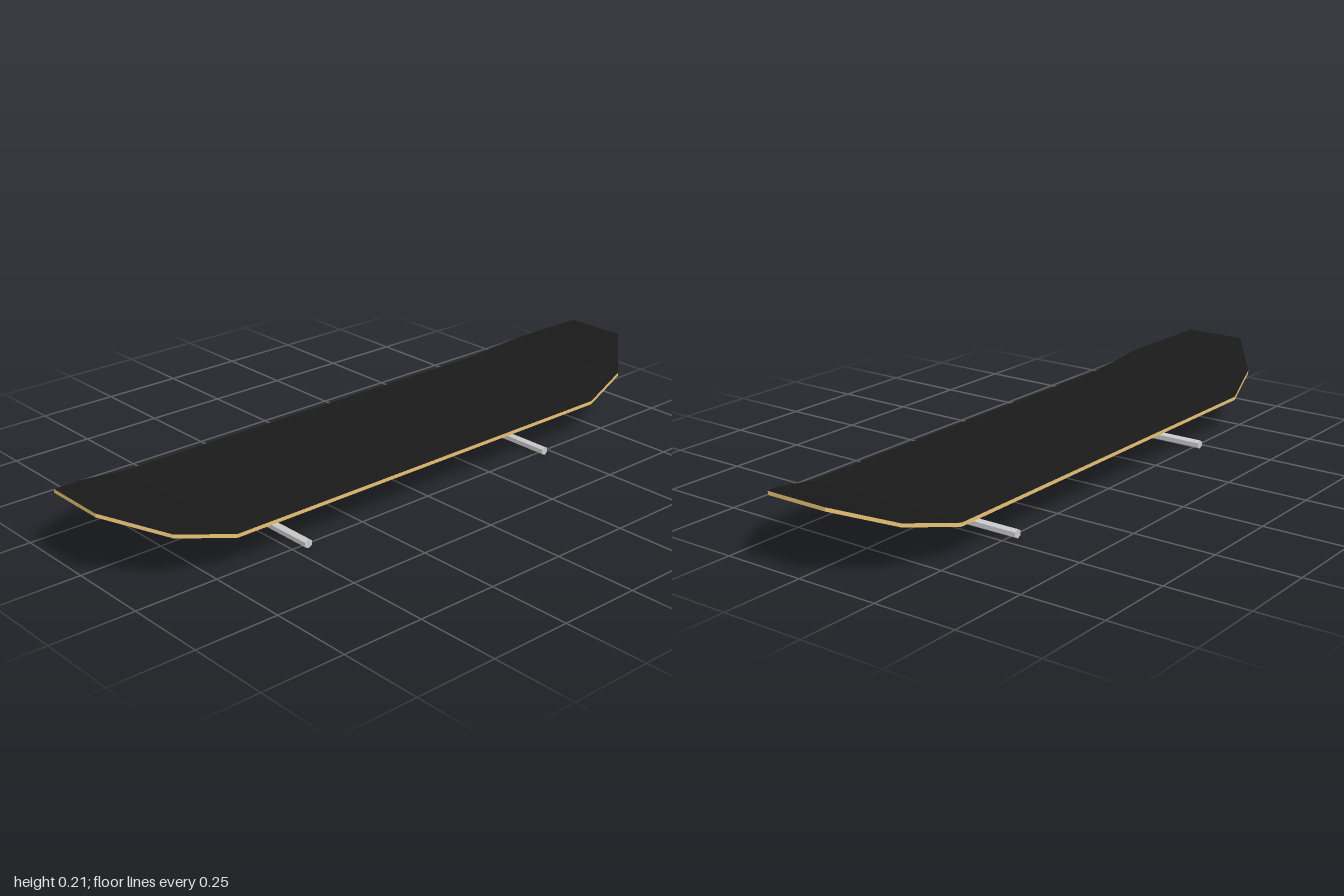
import * as THREE from 'three';

const mat = (name, color) => {
  const m = new THREE.MeshStandardMaterial({ color });
  m.name = name;
  return m;
};

// Deck cross-sections from tail to nose: [x, top height, front z, back z]
const half = [
  [0.685, 0.112, 0.26, -0.265],
  [0.855, 0.152, 0.221, -0.216],
  [1.0, 0.212, 0.094, -0.1],
];
const sections = [...half.map(([x, ...r]) => [-x, ...r]).reverse(), ...half];
const THICK = 0.011;

// Flat-faced mesh from quads with corners in counter-clockwise order
function quadMesh(name, quads, material) {
  const pos = [];
  for (const [a, b, c, d] of quads) pos.push(...a, ...b, ...c, ...a, ...c, ...d);
  const geo = new THREE.BufferGeometry();
  geo.setAttribute('position', new THREE.Float32BufferAttribute(pos, 3));
  geo.computeVertexNormals();
  const mesh = new THREE.Mesh(geo, material);
  mesh.name = name;
  return mesh;
}

function createDeck() {
  const rings = sections.map(([x, y, f, b]) => ({
    tf: [x, y, f], tb: [x, y, b],
    bf: [x, y - THICK, f], bb: [x, y - THICK, b],
  }));
  const top = [], bottom = [], edge = [];
  for (let i = 0; i < rings.length - 1; i++) {
    const p = rings[i], q = rings[i + 1];
    top.push([p.tf, q.tf, q.tb, p.tb]);
    bottom.push([p.bb, q.bb, q.bf, p.bf]);
    edge.push([p.bf, q.bf, q.tf, p.tf], [q.bb, p.bb, p.tb, q.tb]);
  }
  // Tail and nose end faces
  const s = rings[0], e = rings[rings.length - 1];
  edge.push([s.bb, s.bf, s.tf, s.tb], [e.bf, e.bb, e.tb, e.tf]);

  const deck = new THREE.Group();
  deck.name = 'deck';
  deck.add(
    quadMesh('gripSurface', top, mat('black grip', 0x1a1a1a)),
    quadMesh('deckUnderside', bottom, mat('blue paint', 0x4a4ad4)),
    quadMesh('deckEdge', edge, mat('maple wood', 0xf0c878)),
  );
  return deck;
}

// Six-sided axle on a flattened six-sided post
function createTruck(name, x, metal) {
  const truck = new THREE.Group();
  truck.name = name;
  truck.position.x = x;

  const R = 0.0135;
  const axleGeo = new THREE.CylinderGeometry(R, R, 0.548, 6);
  axleGeo.rotateX(Math.PI / 2);
  const axle = new THREE.Mesh(axleGeo, metal);
  axle.name = 'axle';
  axle.position.y = R;

  const h = 0.105 - R;
  const post = new THREE.Mesh(new THREE.CylinderGeometry(R, R, h, 6), metal);
  post.name = 'post';
  post.scale.z = 0.0345 / R;
  post.position.set(0, R + h / 2, 0.0035);

  truck.add(axle, post);
  return truck;
}

export function createModel() {
  const model = new THREE.Group();
  model.name = 'skateboard';
  const metal = mat('grey metal', 0xcccccc);
  metal.flatShading = true;
  model.add(
    createDeck(),
    createTruck('leftTruck', 0.463, metal),
    createTruck('rightTruck', -0.463, metal),
  );
  return model;
}
